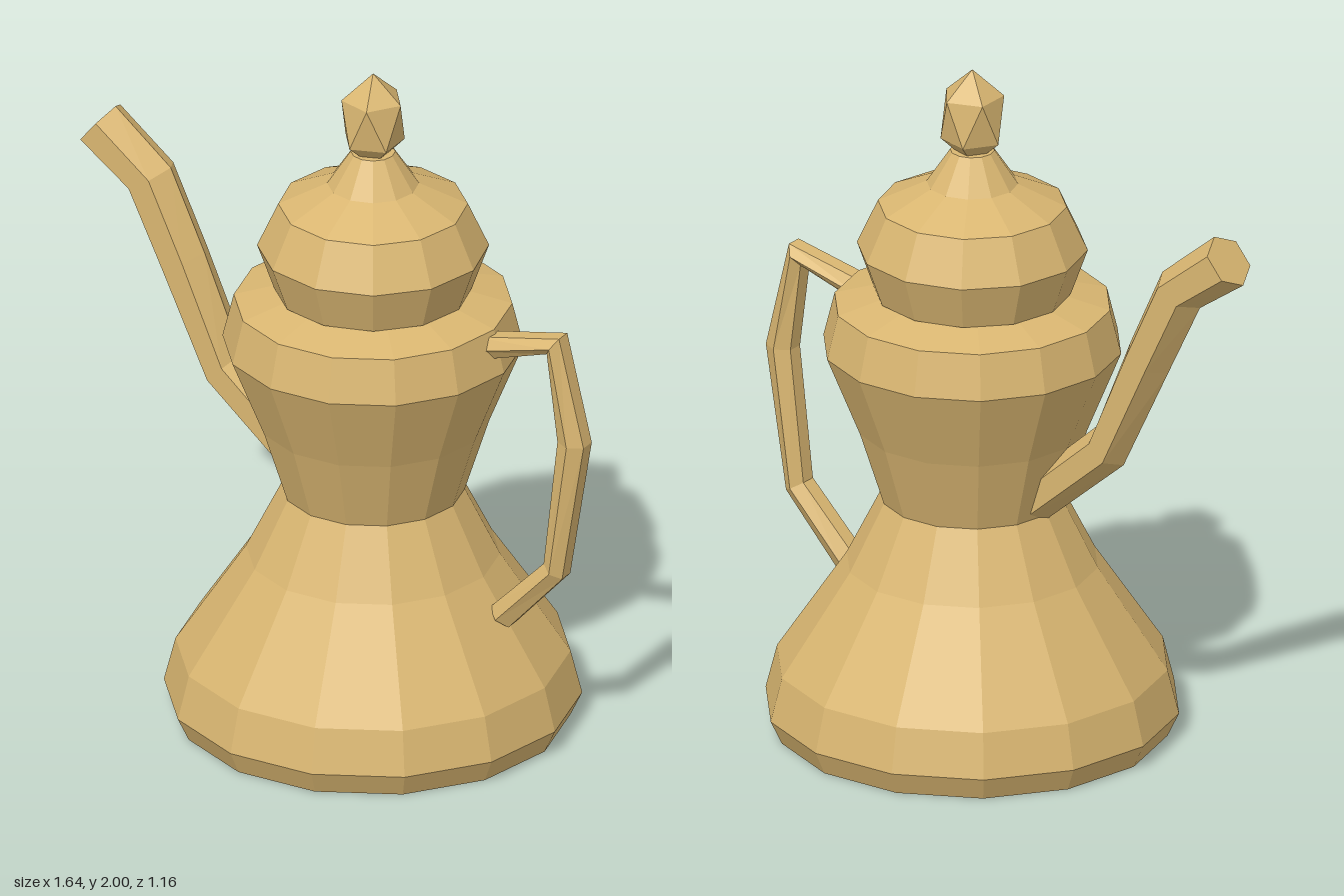
import * as THREE from 'three';
import { ConvexGeometry } from 'three/addons/geometries/ConvexGeometry.js';

const AXIS_X = 0.12; // centre line of the pot

// Gives every facet its own flat normal
function faceted(geometry) {
  const g = geometry.toNonIndexed();
  g.computeVertexNormals();
  return g;
}

// Turned part with a corner pointing along x; profile is [radius, y] from the bottom up
function turned(profile, sides) {
  const points = profile.map(([r, y]) => new THREE.Vector2(r, y));
  return faceted(new THREE.LatheGeometry(points, sides, Math.PI / 2));
}

// Six-sided bent bar; each station is [outerX, outerY, innerX, innerY], with closed ends
function hexBar(stations, depth, turn) {
  const positions = [], index = [];
  const reach = 1 / Math.cos(turn);
  stations.forEach(([ox, oy, ix, iy]) => {
    const cx = (ox + ix) / 2, cy = (oy + iy) / 2;
    for (let k = 0; k < 6; k++) {
      const a = turn + k * Math.PI / 3;
      const c = Math.cos(a) * reach;
      positions.push(cx + (ox - cx) * c, cy + (oy - cy) * c, depth * Math.sin(a));
    }
  });
  for (let s = 0; s < stations.length - 1; s++) {
    for (let k = 0; k < 6; k++) {
      const a = s * 6 + k, b = s * 6 + (k + 1) % 6;
      index.push(a, b, b + 6, a, b + 6, a + 6);
    }
  }
  const end = (stations.length - 1) * 6;
  for (let k = 1; k < 5; k++) {
    index.push(0, k + 1, k, end, end + k, end + k + 1);
  }
  const g = new THREE.BufferGeometry();
  g.setAttribute('position', new THREE.Float32BufferAttribute(positions, 3));
  g.setIndex(index);
  return faceted(g);
}

// Stretched twenty-faced knob: two poles and two staggered rings of five
function knob() {
  const points = [new THREE.Vector3(0, 2, 0), new THREE.Vector3(0, 1.71, 0)];
  for (let k = 0; k < 5; k++) {
    const a = k * Math.PI * 2 / 5;
    const x = 0.09 * Math.cos(a), z = 0.09 * Math.sin(a);
    points.push(new THREE.Vector3(x, 1.92, z), new THREE.Vector3(-x, 1.79, z));
  }
  return new ConvexGeometry(points);
}

export function createModel() {
  const group = new THREE.Group();
  const brass = new THREE.MeshStandardMaterial({ color: 0xd9b671 });
  brass.name = 'brass';

  const add = (name, geometry, x = 0) => {
    const mesh = new THREE.Mesh(geometry, brass);
    mesh.name = name;
    mesh.position.x = x;
    group.add(mesh);
  };

  // Flared base, narrow waist and wide shoulder
  add('body', turned([
    [0, 0], [0.56, 0], [0.593, 0.07], [0.56, 0.2], [0.36, 0.5], [0.26, 0.7],
    [0.33, 0.92], [0.427, 1.16], [0.395, 1.29], [0.27, 1.325], [0, 1.325],
  ], 14), AXIS_X);

  // Domed lid
  add('lid', turned([
    [0, 1.32], [0.28, 1.325], [0.328, 1.46], [0.268, 1.59],
    [0.13, 1.655], [0.063, 1.755], [0, 1.755],
  ], 12), AXIS_X);

  add('lidKnob', knob(), AXIS_X);

  // Spout, from the tip down into the waist
  add('spout', hexBar([
    [-0.72, 1.69, -0.82, 1.565],
    [-0.54, 1.54, -0.67, 1.46],
    [-0.43, 1.3, -0.56, 1.235],
    [-0.31, 1.01, -0.405, 0.915],
    [-0.03, 0.76, -0.12, 0.67],
  ], 0.081, 0));

  // Handle, from the shoulder down to the base
  add('handle', hexBar([
    [0.46, 1.264, 0.46, 1.19],
    [0.74, 1.325, 0.7, 1.268],
    [0.82, 1, 0.735, 1],
    [0.75, 0.57, 0.69, 0.605],
    [0.575, 0.375, 0.515, 0.425],
  ], 0.047, Math.PI / 6));

  return group;
}
